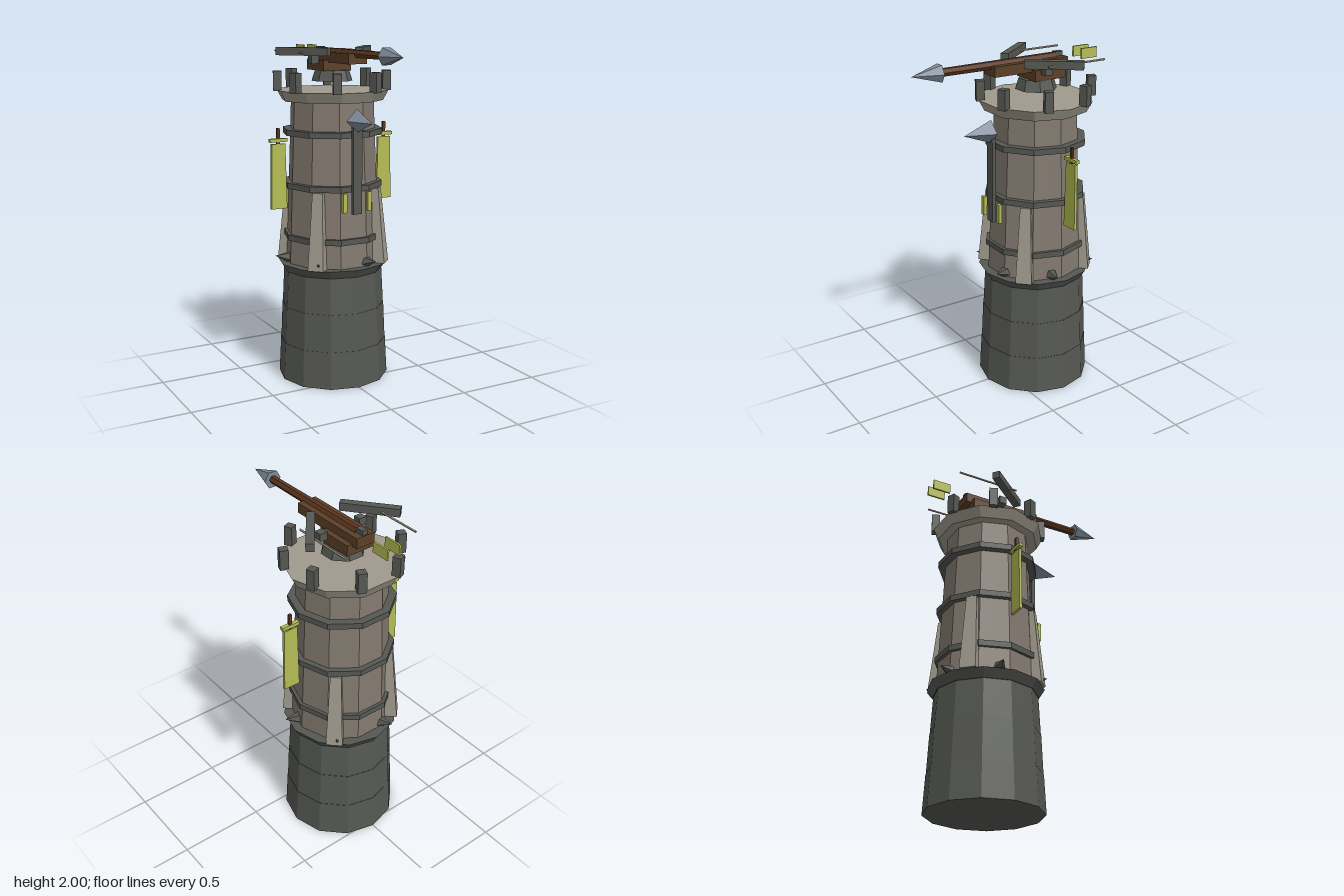
import * as THREE from 'three';

const mat = (name, color) => {
  const m = new THREE.MeshStandardMaterial({ color, flatShading: true });
  m.name = name;
  return m;
};

export function createModel() {
  const darkStone = mat('dark stone', 0x565853);
  const wallStone = mat('wall stone', 0x837a70);
  const paleStone = mat('pale stone', 0xa09a8d);
  const timber = mat('timber', 0x5c4028);
  const darkTimber = mat('dark timber', 0x5a351e);
  const metal = mat('steel', 0x7f8a98);
  const rodWood = mat('pale wood', 0xb8ab94);
  const cloth = mat('green cloth', 0xb5bd54);

  const model = new THREE.Group();
  model.name = 'ballistaTower';
  const axisZ = -0.2; // tower centre line

  const add = (name, geo, material, x, y, z, parent = model) => {
    const mesh = new THREE.Mesh(geo, material);
    mesh.name = name;
    mesh.position.set(x, y, z);
    parent.add(mesh);
    return mesh;
  };
  const box = (name, w, h, d, material, x, y, z, parent) =>
    add(name, new THREE.BoxGeometry(w, h, d), material, x, y, z, parent);
  // Prism around the tower axis from y0 to y1
  const drum = (name, r0, r1, y0, y1, sides, material, turn = 0) => {
    const g = new THREE.CylinderGeometry(r1, r0, y1 - y0, sides).rotateY(turn);
    return add(name, g, material, 0, (y0 + y1) / 2, axisZ);
  };
  // Rod or cone lying along +z from z0 to z1
  const along = (name, r0, r1, z0, z1, sides, material, x, y, turn = 0) => {
    const g = new THREE.CylinderGeometry(r1, r0, z1 - z0, sides).rotateY(turn).rotateX(Math.PI / 2);
    return add(name, g, material, x, y, (z0 + z1) / 2);
  };
  // Group turned around the tower axis, its +z pointing outward
  const spoke = (name, angle) => {
    const g = new THREE.Group();
    g.name = name;
    g.position.z = axisZ;
    g.rotation.y = angle;
    model.add(g);
    return g;
  };

  // Stepped foundation
  drum('foundationLower', 0.333, 0.321, 0, 0.225, 12, darkStone);
  drum('foundationMiddle', 0.319, 0.309, 0.225, 0.45, 12, darkStone);
  drum('foundationUpper', 0.307, 0.295, 0.45, 0.68, 12, darkStone);
  drum('foundationLedge', 0.3, 0.332, 0.67, 0.72, 12, darkStone);

  // Ten-sided shaft, bands and flared platform
  const turn10 = Math.PI / 10;
  drum('towerWall', 0.283, 0.245, 0.72, 1.69, 10, wallStone, turn10);
  for (const y of [0.88, 1.19, 1.5]) drum('wallBand', 0.296, 0.296, y - 0.017, y + 0.017, 10, darkStone, turn10);
  drum('platform', 0.3, 0.332, 1.68, 1.74, 10, paleStone, turn10);

  // Tapered buttresses on the diagonals
  for (let i = 0; i < 4; i++) {
    const g = new THREE.BoxGeometry(1, 0.45, 1);
    const p = g.attributes.position;
    for (let k = 0; k < p.count; k++) {
      const top = p.getY(k) > 0;
      p.setX(k, Math.sign(p.getX(k)) * (top ? 0.03 : 0.047));
      p.setZ(k, p.getZ(k) < 0 ? 0.2 : top ? 0.29 : 0.335);
    }
    g.computeVertexNormals();
    add('buttress', g, paleStone, 0, 0.945, 0, spoke('buttressSpoke', Math.PI / 4 + (i * Math.PI) / 2));
  }

  // Outward spikes on the ledge
  for (let i = 0; i < 6; i++) {
    const g = new THREE.ConeGeometry(0.035, 0.085, 5).rotateX(Math.PI / 2 - 0.15);
    add('spike', g, darkStone, 0, 0.752, 0.312, spoke('spikeSpoke', Math.PI / 10 + (i * Math.PI) / 3));
  }

  // Battlement blocks
  for (let i = 0; i < 8; i++) {
    const s = spoke('battlementSpoke', Math.PI / 8 + (i * Math.PI) / 4);
    box('battlement', 0.048, 0.115, 0.048, darkStone, 0, 1.792, 0.32, s);
  }

  // Ballista mount and stock
  drum('mount', 0.12, 0.1, 1.79, 1.852, 8, darkStone, Math.PI / 8);
  box('mountBlock', 0.18, 0.062, 0.21, timber, 0, 1.881, -0.238);
  box('stock', 0.116, 0.058, 0.486, timber, 0, 1.928, -0.135);
  box('stringCatch', 0.032, 0.03, 0.05, darkStone, 0, 1.968, -0.345);

  // Giant bolt
  along('boltShaft', 0.027, 0.023, -0.32, 0.42, 6, darkTimber, 0, 1.955, Math.PI / 6);
  along('boltHead', 0.053, 0, 0.415, 0.585, 6, metal, 0, 1.954, Math.PI / 6);

  for (const s of [-1, 1]) {
    // Bow arm, bracket, rod and bolt feather
    const arm = box('bowArm', 0.045, 0.046, 0.325, darkStone, s * 0.198, 1.962, -0.18);
    arm.rotation.y = -s * 0.67;
    box('armBracket', 0.046, 0.046, 0.046, darkStone, s * 0.13, 1.915, -0.18);
    along('drawRod', 0.006, 0.006, -0.505, 0.125, 6, rodWood, s * 0.222, 1.957).scale.z = 0.6;
    model.children.at(-1).position.z = -0.317;
    box('boltFeather', 0.011, 0.06, 0.108, cloth, s * 0.039, 1.957, -0.537);

    // Side banner, slightly wider at the hem
    const g = new THREE.BoxGeometry(0.1, 0.38, 0.016);
    const p = g.attributes.position;
    for (let k = 0; k < p.count; k++) if (p.getY(k) > 0) p.setX(k, p.getX(k) * 0.85);
    g.computeVertexNormals();
    add('banner', g, cloth, s * 0.352, 1.25, axisZ);
    box('bannerBar', 0.108, 0.02, 0.024, cloth, s * 0.352, 1.461, axisZ);
    box('bannerPole', 0.018, 0.14, 0.014, darkTimber, s * 0.352, 1.462, axisZ);

    // Ribbons beside the front standard
    box('ribbon', 0.026, 0.112, 0.02, cloth, s * 0.08, 1.118, 0.1);
  }

  // Front standard with a steel point
  box('standardPost', 0.058, 0.51, 0.022, darkStone, 0, 1.303, 0.1);
  along('standardPoint', 0.067, 0, 0.1, 0.275, 4, metal, 0, 1.583);

  return model;
}
